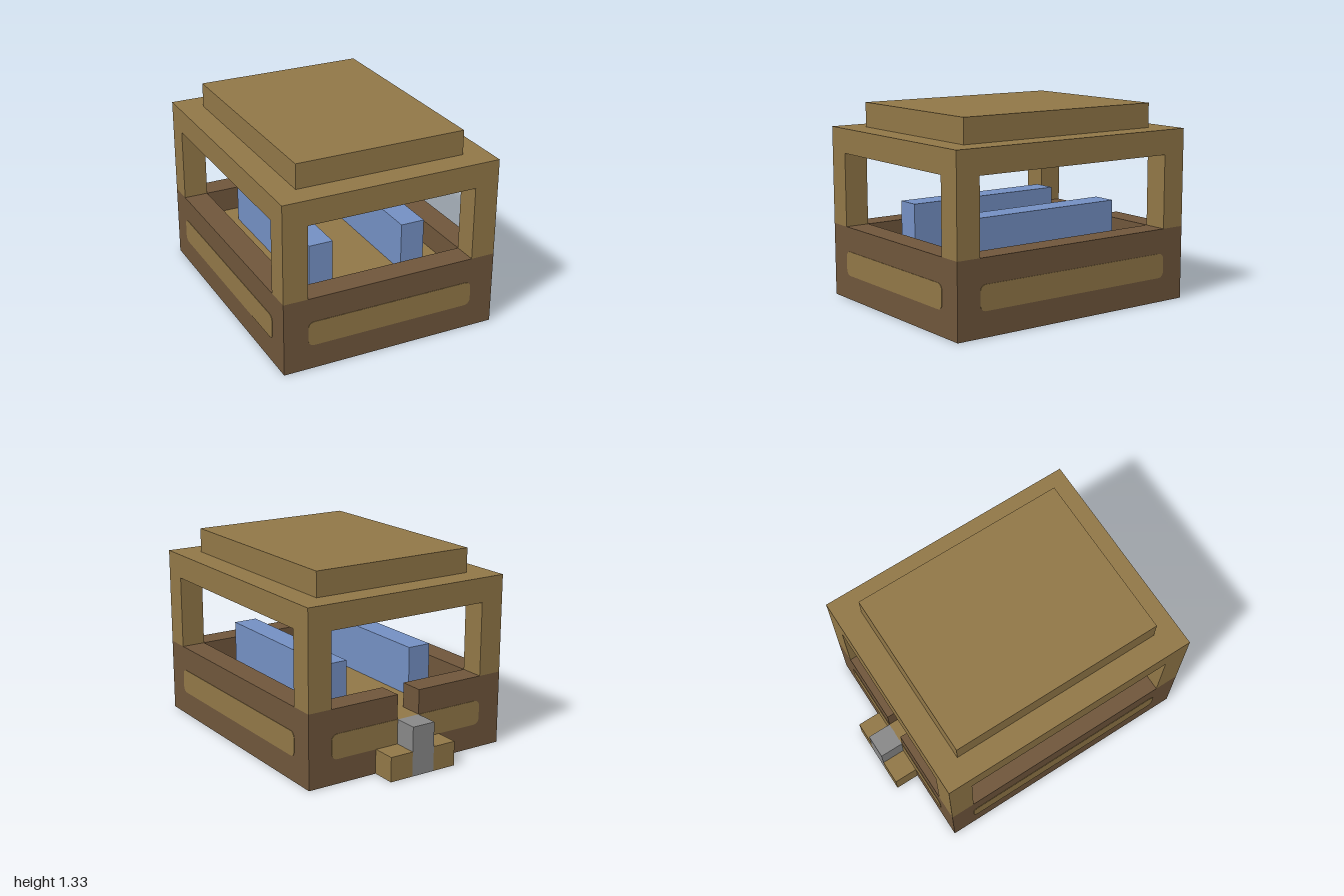
import * as THREE from 'three';

const U = 1 / 6; // one block

const mat = (name, color) => {
  const m = new THREE.MeshStandardMaterial({ color });
  m.name = name;
  return m;
};

export function createModel() {
  const model = new THREE.Group();
  model.name = 'pavilion';
  const tan = mat('lightWood', 0x917747);
  const brown = mat('darkWood', 0x6f563b);
  const blue = mat('benchBlue', 0x7490c3);
  const navy = mat('deepBlue', 0x3757b5);
  const green = mat('green', 0x5e9045);
  const gray = mat('stone', 0x888888);
  const cream = mat('lampCream', 0xffd080);

  // Box in block units: x from -4.5 to 4.5, z from -6 (step) to 6 (front)
  const block = (name, material, x0, x1, y0, y1, z0, z1) => {
    const mesh = new THREE.Mesh(
      new THREE.BoxGeometry((x1 - x0) * U, (y1 - y0) * U, (z1 - z0) * U), material);
    mesh.position.set((x0 + x1) / 2 * U, (y0 + y1) / 2 * U, (z0 + z1) / 2 * U);
    mesh.name = name;
    model.add(mesh);
    return mesh;
  };

  // Low walls, with a doorway in the middle of the back
  block('frontWall', brown, -4.5, 4.5, 0, 3, 5, 6);
  for (const [x0, x1] of [[-4.5, -0.5], [0.5, 4.5]]) {
    block('backWall', brown, x0, x1, 0, 3, -5, -4);
  }

  // Parts mirrored left and right
  for (const s of [-1, 1]) {
    const pair = (name, m, a, b, y0, y1, z0, z1) =>
      block(name, m, Math.min(s * a, s * b), Math.max(s * a, s * b), y0, y1, z0, z1);
    pair('sideWall', brown, 3.5, 4.5, 0, 3, -4, 5);
    pair('frontPost', tan, 3.5, 4.5, 3, 6, 5, 6);
    pair('backPost', tan, 3.5, 4.5, 3, 6, -5, -4);
    pair('bench', blue, 1.5, 2.5, 2, 4, -3, 4);
    pair('doorStepSide', tan, 0.5, 1.5, 0, 1, -6, -5);
    // foundation pieces
    pair('groundSide', green, 1.5, 3.5, 0, 1, -4, 5);
    pair('groundEnd', green, 0.5, 1.5, 0, 1, 4, 5);
    pair('foundationBeam', brown, 0.5, 1.5, 0, 1, -3, 4);
    // ceiling lamps above the benches
    for (const z of [-3, 2]) pair('ceilingLamp', cream, 1.5, 2.5, 5.97, 6.01, z, z + 2);
  }

  // Middle of the foundation
  block('groundBack', green, -1.5, 1.5, 0, 1, -4, -3);
  block('groundDoor', green, -0.5, 0.5, 0, 1, -5, -4);
  block('channel', navy, -0.5, 0.5, 0, 1, -3, 3);
  block('groundFront', green, -0.5, 0.5, 0, 1, 3, 4);
  block('foundationStone', gray, -0.5, 0.5, 0, 1, 4, 5);

  // Wooden floor and doorway sill
  block('floor', tan, -3.5, 3.5, 1, 2, -4, 5);
  block('doorSill', tan, -0.5, 0.5, 1, 2, -5, -4);

  // Step behind the doorway
  block('doorStepStone', gray, -0.5, 0.5, 0, 2, -6, -5);

  // Roof
  block('roofLower', tan, -4.5, 4.5, 6, 7, -5, 6);
  block('roofUpper', tan, -3.5, 3.5, 7, 8, -4, 5);

  // Rounded inlays on the outside of the walls
  const inlay = (name, width, x, z, turn) => {
    const w = width * U / 2, h = U / 2, r = 0.04;
    const s = new THREE.Shape();
    s.absarc(w - r, h - r, r, 0, Math.PI / 2);
    s.absarc(-w + r, h - r, r, Math.PI / 2, Math.PI);
    s.absarc(-w + r, -h + r, r, Math.PI, Math.PI * 1.5);
    s.absarc(w - r, -h + r, r, Math.PI * 1.5, Math.PI * 2);
    const mesh = new THREE.Mesh(
      new THREE.ExtrudeGeometry(s, { depth: 0.003, bevelEnabled: false, curveSegments: 5 }), tan);
    mesh.position.set(x * U, 1.5 * U, z * U);
    mesh.rotation.y = turn;
    mesh.name = name;
    model.add(mesh);
  };
  inlay('frontInlay', 7, 0, 6, 0);
  inlay('backInlay', 7, 0, -5, Math.PI);
  inlay('leftInlay', 9, 4.5, 0.5, Math.PI / 2);
  inlay('rightInlay', 9, -4.5, 0.5, -Math.PI / 2);

  return model;
}
